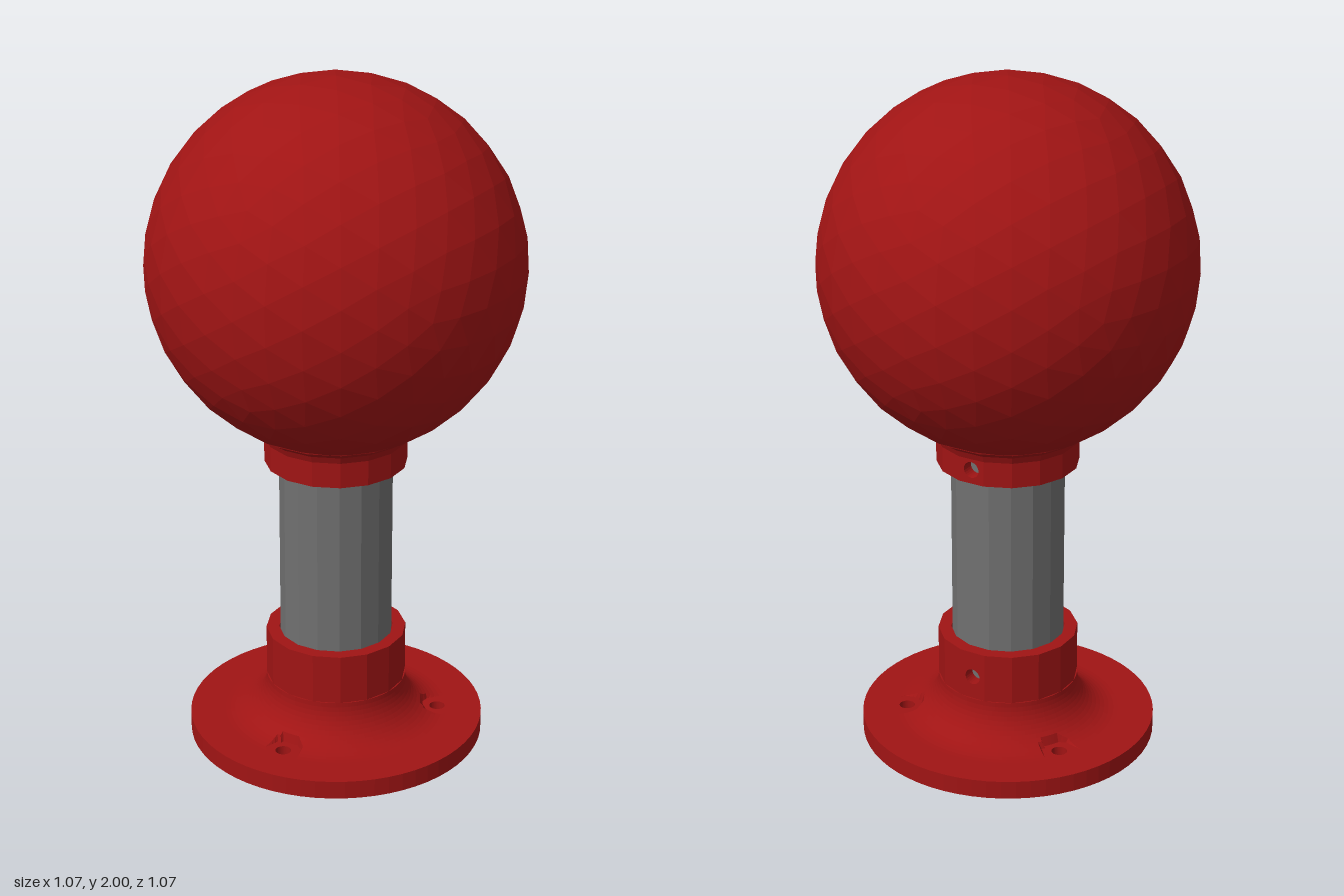
import * as THREE from 'three';

const red = new THREE.MeshStandardMaterial({ color: 0xa01414, flatShading: true, side: THREE.DoubleSide });
const grey = new THREE.MeshStandardMaterial({ color: 0x707070, flatShading: true, side: THREE.DoubleSide });

const SIDES = 16;
const STEP = (Math.PI * 2) / SIDES;
const PIPE_R = 0.165, SOCKET_R = 0.169, SLEEVE_R = 0.207;
const FLANGE_R = 0.437, FLANGE_H = 0.055;

// Three screw positions around the flange
const screws = [90, 210, 330].map((deg) => {
  const a = THREE.MathUtils.degToRad(deg);
  return { x: 0.305 * Math.cos(a), z: 0.305 * Math.sin(a) };
});

function add(parent, name, geometry, material) {
  const mesh = new THREE.Mesh(geometry, material);
  mesh.name = name;
  parent.add(mesh);
  return mesh;
}

const points = (list) => list.map(([r, y]) => new THREE.Vector2(r, y));

function circleHole(x, y, r) {
  return new THREE.Path().absarc(x, y, r, 0, Math.PI * 2, true);
}

// Ring-shaped tube wall; skips the rear facet when it is left for a drilled plate
function ring(inner, outer, y0, y1, facets = SIDES) {
  const loop = points([[inner, y0], [outer, y0], [outer, y1], [inner, y1], [inner, y0]]);
  return new THREE.LatheGeometry(loop, facets, Math.PI + STEP / 2, STEP * facets);
}

// Sleeve around the pipe with a set-screw hole through its rear facet
function drilledSleeve(name, y0, y1, holeY) {
  const group = new THREE.Group();
  group.name = name;
  add(group, name + 'Wall', ring(SOCKET_R, SLEEVE_R, y0, y1, SIDES - 1), red);

  const half = SLEEVE_R * Math.sin(STEP / 2);
  const plate = new THREE.Shape(points([[-half, y0], [half, y0], [half, y1], [-half, y1]]));
  plate.holes.push(circleHole(0, holeY, 0.024));
  const flat = Math.cos(STEP / 2);
  const geometry = new THREE.ExtrudeGeometry(plate, {
    depth: (SLEEVE_R - SOCKET_R) * flat, bevelEnabled: false, curveSegments: 12,
  });
  geometry.translate(0, 0, -SLEEVE_R * flat);
  add(group, name + 'SetScrewPlate', geometry, red);
  return group;
}

// Round foot with a central bore and screw holes
function flangeGeometry() {
  const shape = new THREE.Shape().absarc(0, 0, FLANGE_R, 0, Math.PI * 2, false);
  shape.holes.push(circleHole(0, 0, 0.125));
  for (const s of screws) shape.holes.push(circleHole(s.x, -s.z, 0.023));
  const geometry = new THREE.ExtrudeGeometry(shape, { depth: FLANGE_H, bevelEnabled: false, curveSegments: 32 });
  return geometry.rotateX(-Math.PI / 2);
}

// Concave fillet between foot and sleeve, cut away around each screw head
function filletGeometry() {
  const radius = 0.125, profile = [];
  for (let i = 0; i <= 14; i++) {
    const a = (i / 14) * Math.PI / 2;
    profile.push([SLEEVE_R + radius - radius * Math.sin(a), FLANGE_H + radius - radius * Math.cos(a)]);
  }
  profile.push([SOCKET_R, FLANGE_H + radius]);
  const geometry = new THREE.LatheGeometry(points(profile), 144);
  const pos = geometry.attributes.position;
  const cut = [];
  for (let i = 0; i < pos.count; i++) {
    cut[i] = screws.some((s) => Math.hypot(pos.getX(i) - s.x, pos.getZ(i) - s.z) < 0.047);
    if (cut[i]) pos.setY(i, FLANGE_H - 0.01);
  }
  const kept = [], index = geometry.index.array;
  for (let i = 0; i < index.length; i += 3) {
    const tri = [index[i], index[i + 1], index[i + 2]];
    if (!tri.every((v) => cut[v])) kept.push(...tri);
  }
  geometry.setIndex(kept);
  geometry.computeVertexNormals();
  return geometry;
}

export function createModel() {
  const model = new THREE.Group();
  model.name = 'ballTopPost';

  // Base
  const base = new THREE.Group();
  base.name = 'base';
  add(base, 'flange', flangeGeometry(), red);
  add(base, 'fillet', filletGeometry(), red);
  base.add(drilledSleeve('baseSleeve', 0.175, 0.33, 0.25));
  model.add(base);

  // Hollow pipe
  add(model, 'pipe', ring(0.145, PIPE_R, FLANGE_H + 0.005, 1.0), grey);

  // Ball with its collar
  const top = new THREE.Group();
  top.name = 'ballTop';
  top.add(drilledSleeve('collar', 0.87, 0.95, 0.912));
  const flare = points([[SOCKET_R, 0.945], [SLEEVE_R, 0.945], [0.215, 0.965], [0.245, 0.985], [0.25, 1.01]]);
  add(top, 'collarFlare', new THREE.LatheGeometry(flare, SIDES, STEP / 2), red);
  add(top, 'ball', new THREE.IcosahedronGeometry(0.537, 5), red).position.y = 1.463;
  model.add(top);

  return model;
}
